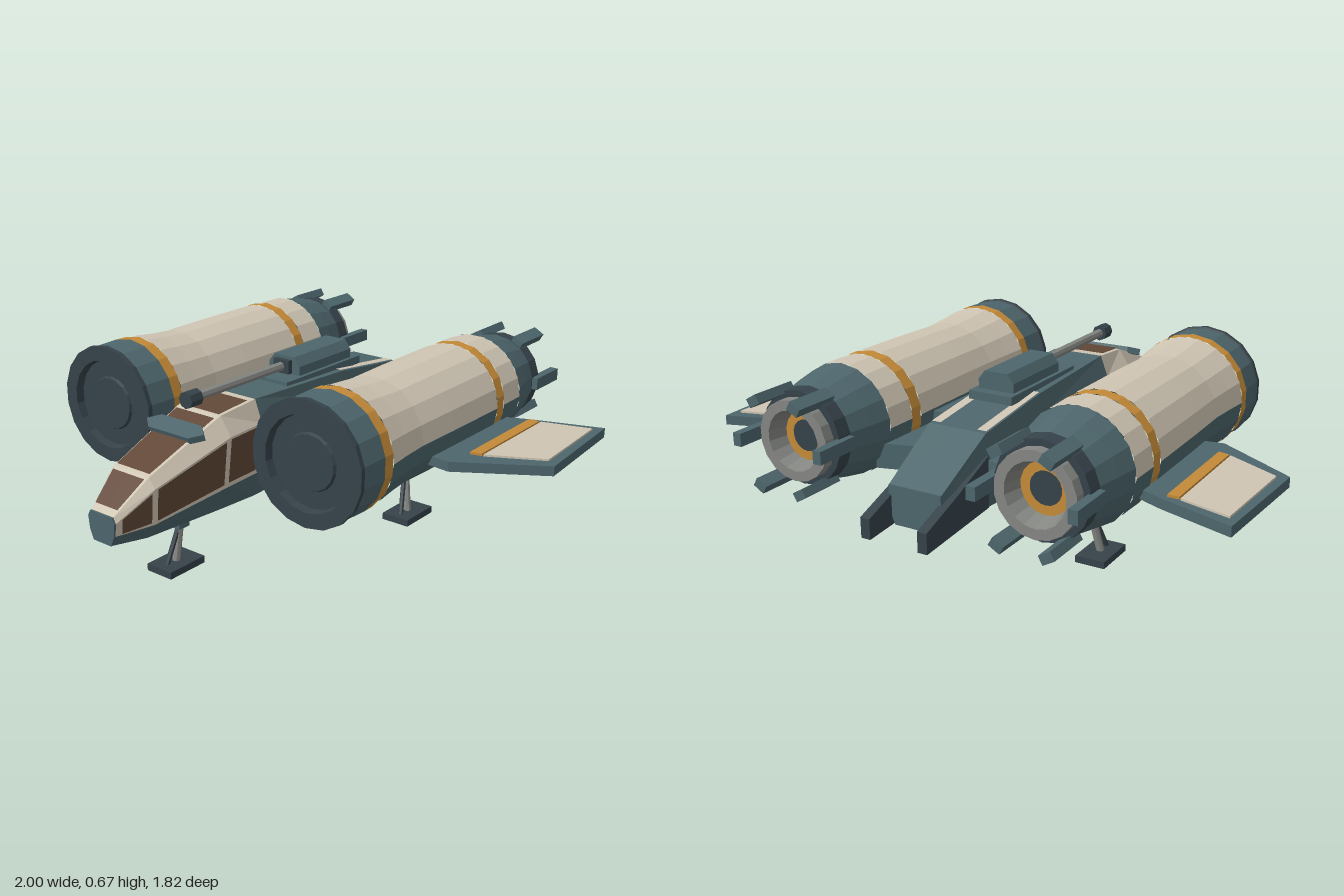
import * as THREE from 'three';

const mat = (name, color) => {
  const m = new THREE.MeshStandardMaterial({ color });
  m.name = name;
  return m;
};

export function createModel() {
  const root = new THREE.Group();
  root.name = 'twinEngineShip';
  const teal = mat('teal hull', 0x4d666c), dark = mat('dark metal', 0x36434a), cream = mat('cream paint', 0xcfc5b3);
  const orange = mat('orange stripe', 0xc48a38), glass = mat('brown glass', 0x624838), grey = mat('grey metal', 0x858783);
  const lerp = THREE.MathUtils.lerp;

  // Adds a faceted mesh
  const add = (name, geo, m, parent = root) => {
    const g = geo.index ? geo.toNonIndexed() : geo;
    g.computeVertexNormals();
    const mesh = new THREE.Mesh(g, m);
    mesh.name = name;
    parent.add(mesh);
    return mesh;
  };
  const extrude = (pts, depth) => new THREE.ExtrudeGeometry(
    new THREE.Shape(pts.map(p => new THREE.Vector2(...p))), { depth, bevelEnabled: false });
  // Horizontal plate from an x,z outline; prism along z from an x,y outline
  const plate = (pts, y0, y1) => extrude(pts.map(([x, z]) => [x, -z]), y1 - y0).rotateX(-Math.PI / 2).translate(0, y0, 0);
  const prism = (pts, z0, z1) => extrude(pts, z1 - z0).translate(0, 0, z0);
  const box = (w, h, d, x, y, z) => new THREE.BoxGeometry(w, h, d).translate(x, y, z);
  const rod = (a, b, r, sides = 8) => {
    const A = new THREE.Vector3(...a), B = new THREE.Vector3(...b), d = B.clone().sub(A);
    const q = new THREE.Quaternion().setFromUnitVectors(new THREE.Vector3(0, 1, 0), d.clone().normalize());
    const mid = A.add(B).multiplyScalar(0.5);
    return new THREE.CylinderGeometry(r, r, d.length(), sides).applyQuaternion(q).translate(mid.x, mid.y, mid.z);
  };

  // Fuselage stations: z, roof y, roof x, shoulder y, x, chine y, x, keel y, x
  const stations = [
    [0.90, 0.31, 0.05, 0.29, 0.06, 0.245, 0.055, 0.21, 0.04],
    [0.77, 0.41, 0.08, 0.375, 0.105, 0.25, 0.095, 0.195, 0.06],
    [0.45, 0.53, 0.095, 0.465, 0.14, 0.28, 0.12, 0.187, 0.08],
    [0.28, 0.545, 0.1, 0.465, 0.13, 0.285, 0.12, 0.185, 0.09],
    [-0.2, 0.53, 0.11, 0.45, 0.122, 0.29, 0.115, 0.2, 0.09],
    [-0.55, 0.49, 0.11, 0.42, 0.12, 0.29, 0.11, 0.213, 0.085],
    [-0.79, 0.36, 0.1, 0.33, 0.1, 0.27, 0.1, 0.225, 0.08]];
  const halfProfile = z => {
    let i = 0;
    while (i < stations.length - 2 && z < stations[i + 1][0]) i++;
    const A = stations[i], B = stations[i + 1], t = (z - A[0]) / (B[0] - A[0]);
    const v = A.map((a, k) => lerp(a, B[k], t));
    return [[0, v[1]], [v[2], v[1]], [v[4], v[3]], [v[6], v[5]], [v[8], v[7]], [0, v[7]]];
  };
  // Mirrored patch on one fuselage face, optionally lifted as a thin panel
  const patch = (name, m, zFront, zBack, face, u0 = 0, u1 = 1, lift = 0) => {
    const cuts = [zFront, ...stations.map(s => s[0]).filter(z => z < zFront && z > zBack), zBack], pos = [];
    for (let i = 0; i < cuts.length - 1; i++) for (const s of [1, -1]) {
      const P = (z, u) => {
        const h = halfProfile(z), a = h[face], b = h[face + 1];
        return new THREE.Vector3(s * lerp(a[0], b[0], u), lerp(a[1], b[1], u), z);
      };
      let q = [P(cuts[i], u0), P(cuts[i], u1), P(cuts[i + 1], u1), P(cuts[i + 1], u0)];
      if (s < 0) q = [q[0], q[3], q[2], q[1]];
      const n = q[2].clone().sub(q[0]).cross(q[3].clone().sub(q[1])).normalize().multiplyScalar(lift);
      q.forEach(p => p.add(n));
      for (const k of [0, 1, 2, 0, 2, 3]) pos.push(q[k].x, q[k].y, q[k].z);
    }
    add(name, new THREE.BufferGeometry().setAttribute('position', new THREE.Float32BufferAttribute(pos, 3)), m);
  };
  const ring = z => {
    const h = halfProfile(z);
    return [...h, ...h.slice(1, 5).reverse().map(([x, y]) => [-x, y])];
  };
  for (let f = 0; f < 5; f++) {
    patch('cockpitShell', f < 3 ? cream : teal, 0.9, 0.28, f);
    patch('rearHull', teal, 0.28, -0.79, f);
  }
  add('noseCap', prism(ring(0.9), 0.9, 0.907), teal);
  add('tailCap', prism(ring(-0.79), -0.795, -0.785), teal);

  // Cockpit glazing and deck stripes
  for (const [a, b] of [[0.88, 0.78], [0.76, 0.47], [0.45, 0.31]]) {
    patch('roofGlass', glass, a, b, 0, 0, 0.92, 0.004);
    patch('sideGlass', glass, a, b, 2, 0.03, 0.9, 0.004);
  }
  patch('deckStripe', cream, -0.2, -0.54, 0, 0.65, 0.97, 0.004);
  const collar = plate([[-0.13, 0], [-0.09, 0.035], [0.09, 0.035], [0.13, 0], [0.09, -0.035], [-0.09, -0.035]], -0.012, 0.012);
  add('cockpitCollar', collar.rotateX(0.36).translate(0, 0.495, 0.565), teal);

  // Dorsal turret with its long barrel
  add('turretBase', box(0.17, 0.03, 0.44, 0, 0.537, -0.13), teal);
  add('turret', prism([[-0.07, 0.54], [0.07, 0.54], [0.07, 0.585], [0.045, 0.617], [-0.045, 0.617], [-0.07, 0.585]], -0.31, 0), teal);
  add('turretFront', box(0.07, 0.05, 0.03, 0, 0.58, 0.005), dark);
  add('barrel', rod([0, 0.58, 0], [0, 0.58, 0.48], 0.017), grey);
  add('muzzle', rod([0, 0.58, 0.46], [0, 0.58, 0.515], 0.03), dark);

  for (const s of [1, -1]) {
    const side = new THREE.Group();
    side.name = s > 0 ? 'leftSide' : 'rightSide';
    root.add(side);
    const mx = pts => pts.map(([x, z]) => [s * x, z]);

    // Pylon joining hull and engine
    add('pylon', plate(mx([[0.08, -0.54], [0.12, -0.55], [0.3, -0.6], [0.3, 0.24], [0.08, 0.19]]), 0.31, 0.4), teal, side);
    add('pylonFairing', box(0.13, 0.06, 0.43, s * 0.21, 0.41, -0.105), teal, side);

    // Outer wing with painted panels
    add('wing', plate(mx([[0.6, -0.47], [0.65, -0.5], [0.72, -0.53], [0.975, -0.615], [1, -0.17], [0.71, 0.015], [0.6, 0]]), 0.352, 0.387), teal, side);
    add('wingPanel', plate(mx([[0.775, -0.515], [0.95, -0.565], [0.965, -0.2], [0.775, -0.1]]), 0.387, 0.394), cream, side);
    add('wingStripe', plate(mx([[0.73, -0.51], [0.77, -0.51], [0.77, -0.1], [0.73, -0.09]]), 0.387, 0.396), orange, side);

    // Engine: lathed sections of [radius, z], cream above and teal below
    const engine = new THREE.Group();
    engine.name = 'engine';
    engine.position.set(s * 0.455, 0.45, 0);
    side.add(engine);
    const lathe = (name, m, pts, start = 0, len = 2, seg = 18) => add(name, new THREE.LatheGeometry(
      pts.map(p => new THREE.Vector2(...p)), seg, start * Math.PI, len * Math.PI).rotateX(Math.PI / 2), m, engine);
    const shells = [[[0.2, -0.57], [0.202, -0.45]], [[0.203, -0.4], [0.201, -0.1], [0.197, 0.08], [0.205, 0.19], [0.215, 0.28]]];
    for (const shell of shells) {
      lathe('engineTopShell', cream, shell, 0.5, 1, 9);
      lathe('engineBottomShell', teal, shell, 1.5, 1, 9);
    }
    lathe('engineRearStripe', orange, [[0.202, -0.45], [0.203, -0.4]]);
    lathe('engineFrontStripe', orange, [[0.215, 0.28], [0.216, 0.325]]);
    lathe('engineCowl', teal, [[0.216, 0.325], [0.212, 0.44]]);
    lathe('engineTail', teal, [[0.165, -0.735], [0.185, -0.65], [0.2, -0.57]]);
    lathe('tailBand', dark, [[0.12, -0.79], [0.163, -0.79], [0.165, -0.735]]);
    // Recessed intake with a hub
    lathe('intake', dark, [[0.212, 0.435], [0.218, 0.437], [0.218, 0.455], [0.165, 0.455], [0.16, 0.425], [0.1, 0.425], [0.095, 0.435], [0, 0.435]]);
    // Exhaust nozzle
    lathe('nozzle', grey, [[0.085, -0.76], [0.105, -0.83], [0.14, -0.83], [0.14, -0.78]]);
    lathe('exhaustRing', orange, [[0.055, -0.765], [0.092, -0.765]]);
    lathe('exhaustCore', dark, [[0, -0.76], [0.06, -0.76]]);
    for (let i = 0; i < 6; i++)
      add('exhaustFin', box(0.032, 0.045, 0.17, 0.168, 0, -0.825).rotateZ(i * Math.PI / 3), teal, engine);

    // Twin tail fin
    const fin = extrude([[-0.56, 0.24], [-0.91, 0.215], [-0.91, 0.285], [-0.73, 0.35], [-0.56, 0.42]], 0.035);
    add('tailFin', fin.rotateY(-Math.PI / 2).translate(s * 0.108 + 0.0175, 0, 0), dark, side);
  }

  // Landing gear: hip point and foot centre
  const leg = (name, hip, foot) => {
    const g = new THREE.Group();
    g.name = name;
    root.add(g);
    const at = t => hip.map((h, i) => lerp(h, [foot[0], 0.02, foot[1]][i], t));
    add('foot', box(0.11, 0.025, 0.165, foot[0], 0.0125, foot[1]), dark, g);
    add('strut', rod(hip, at(1), 0.014), grey, g);
    add('hipSleeve', rod(at(0), at(0.3), 0.021, 6), teal, g);
    const [x, y, z] = at(0.3);
    add('knee', box(0.042, 0.035, 0.05, x, y, z), teal, g);
    add('brace', rod([x, y, z], [foot[0], 0.02, foot[1] + 0.045], 0.009, 6), dark, g);
  };
  leg('frontLeg', [0, 0.22, 0.55], [0, 0.585]);
  for (const s of [1, -1]) leg('rearLeg', [s * 0.338, 0.27, -0.295], [s * 0.385, -0.26]);

  return root;
}
